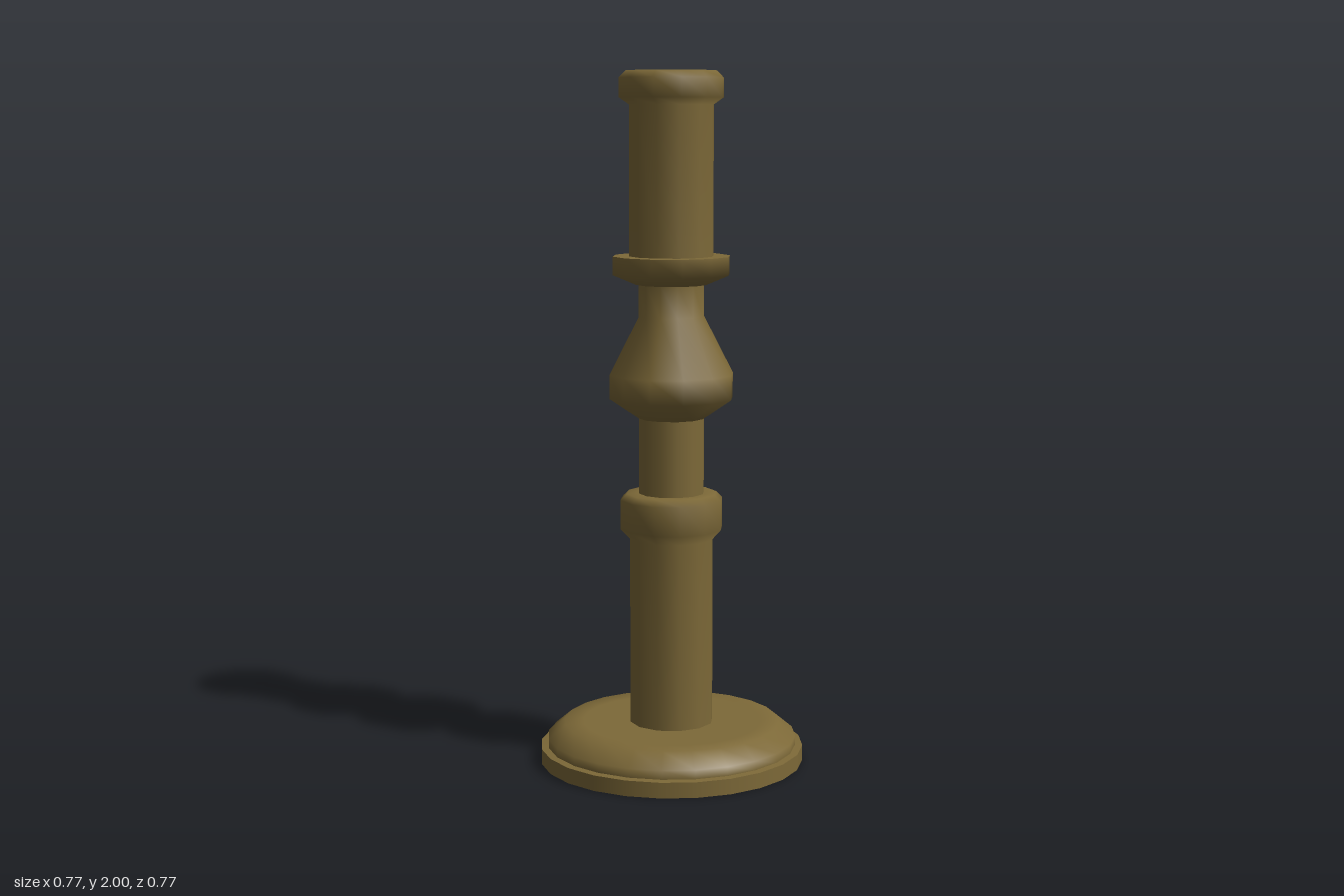
import * as THREE from 'three';

const bronze = new THREE.MeshStandardMaterial({ color: 0x7d6938 });
bronze.name = 'agedBronze';

// One turned part: each profile is smooth, with a hard edge between profiles.
function turnedPart(name, sides, phase, profiles) {
  const part = new THREE.Group();
  part.name = name;
  profiles.forEach((profile, i) => {
    const points = profile.map(([r, y]) => new THREE.Vector2(r, y));
    const mesh = new THREE.Mesh(new THREE.LatheGeometry(points, sides, phase), bronze);
    mesh.name = `${name}Surface${i + 1}`;
    part.add(mesh);
  });
  return part;
}

// Stem parts have 12 sides with a flat towards the front; radii are given across flats.
function stemPart(name, ...profiles) {
  const k = 1 / Math.cos(Math.PI / 12);
  return turnedPart(name, 12, Math.PI / 12, profiles.map((p) => p.map(([r, y]) => [r * k, y])));
}

export function createModel() {
  const model = new THREE.Group();
  model.name = 'candlestick';

  // Round foot: flat underside, rim, ledge and bevelled top
  model.add(turnedPart('foot', 24, 0, [
    [[0, 0], [0.385, 0]],
    [[0.385, 0], [0.385, 0.045]],
    [[0.385, 0.045], [0.364, 0.047]],
    [[0.364, 0.047], [0.364, 0.073], [0.315, 0.114], [0.26, 0.114], [0, 0.114]],
  ]));

  // Lower shaft flaring into its collar
  model.add(stemPart('lowerShaft',
    [[0.118, 0.11], [0.118, 0.66], [0.145, 0.69], [0.145, 0.775], [0.127, 0.793], [0.09, 0.793]]));

  // Narrow neck below the bulb
  model.add(stemPart('lowerNeck', [[0.092, 0.79], [0.092, 1.012]]));

  // Bulb tapering up into the upper neck
  model.add(stemPart('bulb',
    [[0.092, 1.012], [0.174, 1.07], [0.174, 1.14], [0.092, 1.305], [0.092, 1.4]]));

  // Drip ring with a chamfered underside and flat top
  model.add(stemPart('dripRing',
    [[0.09, 1.397], [0.1, 1.397], [0.164, 1.425], [0.164, 1.478]],
    [[0.164, 1.478], [0.11, 1.478]]));

  // Upper shaft flaring into the capped socket
  model.add(stemPart('upperShaft',
    [[0.118, 1.476], [0.118, 1.905], [0.146, 1.925], [0.146, 1.98], [0.127, 2], [0.1, 2], [0, 2]]));

  return model;
}
